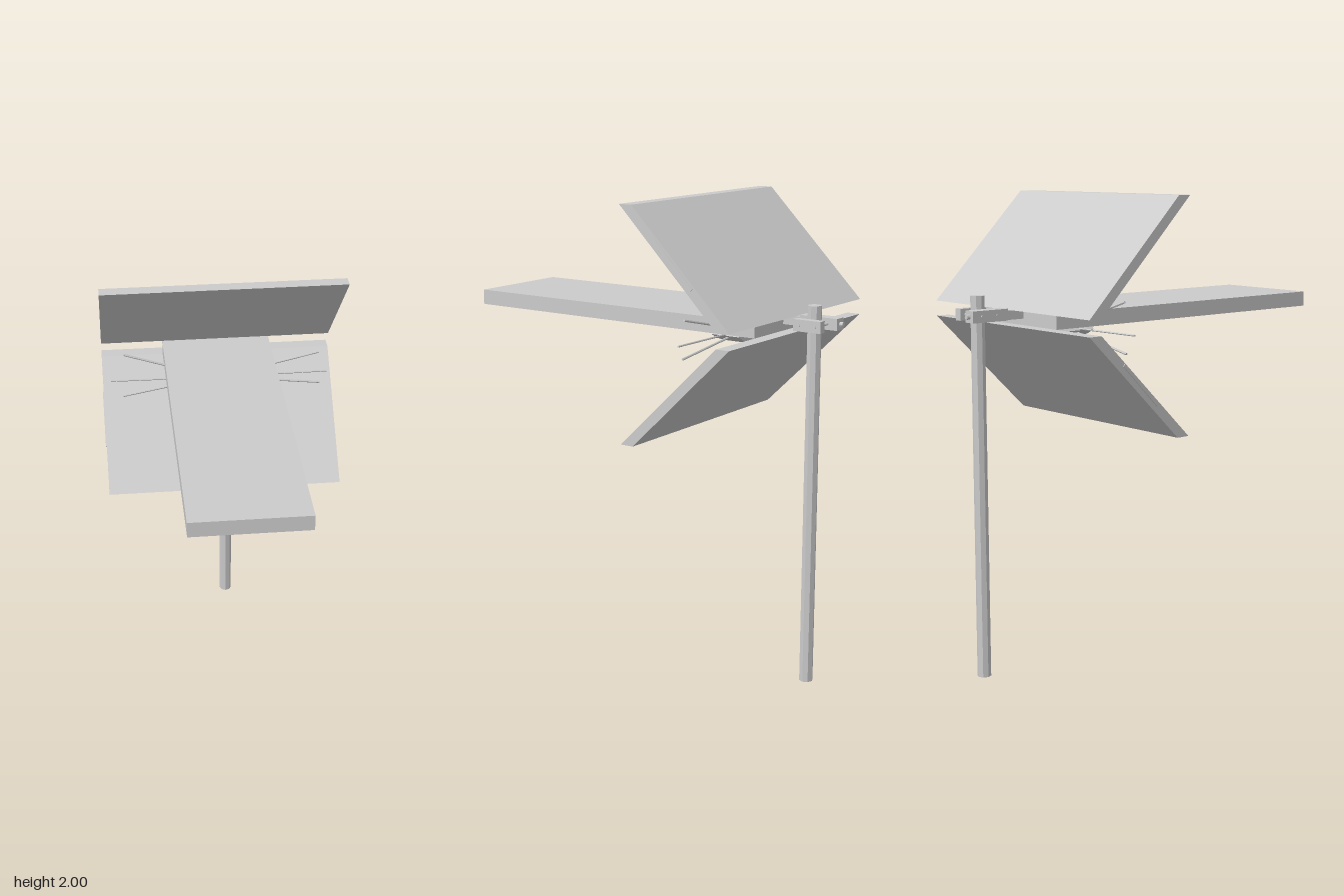
import * as THREE from 'three';

const mat = new THREE.MeshStandardMaterial({ color: 0xcccccc, flatShading: true });

export function createModel() {
  const model = new THREE.Group();

  const add = (name, geo) => {
    const mesh = new THREE.Mesh(geo, mat);
    mesh.name = name;
    model.add(mesh);
    return mesh;
  };
  // Box given by its limits on each axis
  const box = (name, [x0, x1], [y0, y1], [z0, z1]) => {
    const m = add(name, new THREE.BoxGeometry(x1 - x0, y1 - y0, z1 - z0));
    m.position.set((x0 + x1) / 2, (y0 + y1) / 2, (z0 + z1) / 2);
    return m;
  };
  // Straight rod between two points
  const rod = (name, a, b, r, sides = 8) => {
    const p = new THREE.Vector3(...a), q = new THREE.Vector3(...b);
    const m = add(name, new THREE.CylinderGeometry(r, r, p.distanceTo(q), sides));
    m.position.copy(p).add(q).multiplyScalar(0.5);
    m.quaternion.setFromUnitVectors(new THREE.Vector3(0, 1, 0), q.sub(p).normalize());
    return m;
  };
  const extrude = (points, depth) => {
    const shape = new THREE.Shape(points.map(([x, y]) => new THREE.Vector2(x, y)));
    return new THREE.ExtrudeGeometry(shape, { depth, bevelEnabled: false }).translate(0, 0, -depth / 2);
  };

  // Long flat boom
  box('boom', [-0.24, 0.24], [1.475, 1.54], [-0.59, 0.855]);

  // Slanted reflector panels, profiles drawn as (z, y)
  const panel = (name, yNear, yFar) =>
    add(name, extrude([[-0.59, yNear], [-0.65, yNear], [-0.19, yFar], [-0.13, yFar]], 1.03).rotateY(-Math.PI / 2));
  panel('upperReflector', 1.54, 2.0);
  panel('lowerReflector', 1.475, 1.03);

  // Slim grips on the panel ends
  for (const [name, x, y, tilt] of [['upperGrip', 0.515, 1.78, Math.PI / 4], ['lowerGrip', -0.515, 1.265, -Math.PI / 4]]) {
    const grip = add(name, new THREE.BoxGeometry(0.008, 0.25, 0.012));
    grip.position.set(x, y, -0.39);
    grip.rotation.x = tilt;
  }

  // Feed housing under the boom: a centre block with a tapered wing each side
  box('feedBlock', [-0.03, 0.03], [1.412, 1.476], [-0.44, -0.34]);
  for (const s of [-1, 1]) {
    const wing = add('feedWing', extrude(
      [[0.035, 1.476], [0.035, 1.425], [0.055, 1.412], [0.11, 1.43], [0.145, 1.45], [0.12, 1.476]].map(([x, y]) => [s * x, y]), 0.135));
    wing.position.z = -0.388;
    rod('feedPin', [s * 0.012, 1.35, -0.39], [s * 0.012, 1.476, -0.39], 0.003, 6);
    rod('crossDipole', [s * 0.1, 1.455, -0.39], [s * 0.48, 1.458, -0.39], 0.004, 6);
  }

  // Bow-tie dipole rods
  for (const [x, y] of [[-0.42, 1.585], [0.44, 1.555], [-0.43, 1.38], [0.45, 1.402]])
    rod('dipoleRod', [Math.sign(x) * 0.08, y > 1.47 ? 1.472 : 1.445, -0.39], [x, y, -0.39], 0.005, 6);

  // Mast
  rod('mast', [0.06, 0, -0.757], [0.06, 1.6, -0.757], 0.029);

  // Clamp joining boom and mast
  box('clampArm', [-0.026, 0.026], [1.5, 1.548], [-0.84, -0.67]);
  box('clampNeck', [-0.024, 0.024], [1.502, 1.54], [-0.67, -0.58]);
  box('clampPlate', [0.09, 0.123], [1.5, 1.548], [-0.82, -0.695]);
  for (const z of [-0.795, -0.722])
    rod('clampBolt', [-0.03, 1.524, z], [0.128, 1.524, z], 0.006);
  rod('endBolt', [0, 1.524, -0.855], [0, 1.524, -0.83], 0.01);

  return model;
}
